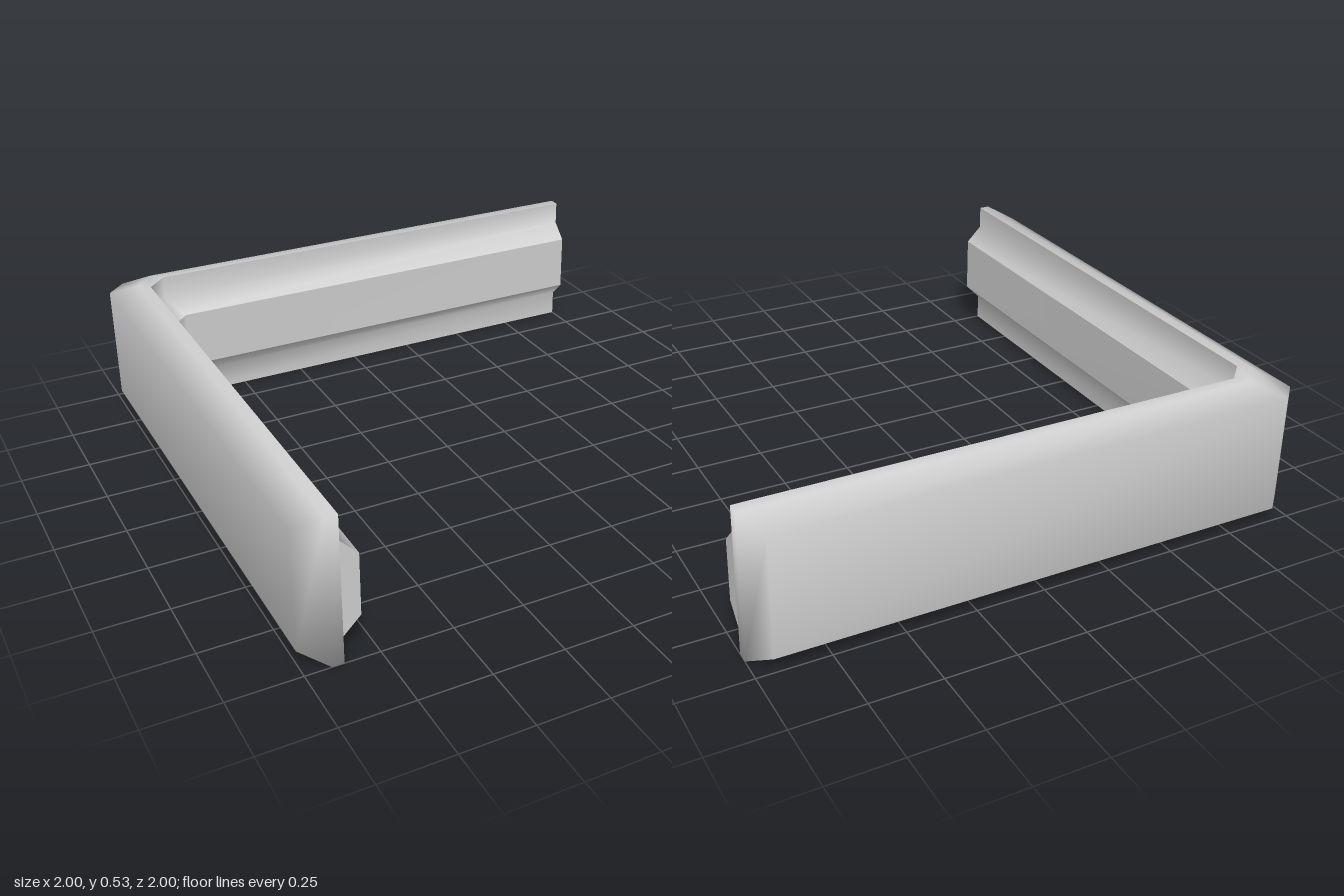
import * as THREE from 'three';

const CUT = 0.07; // chamfer of the corner, seen from above

// Path of one profile point (depth d from the outer face, height y) round the L
function pathOf([d, y]) {
  const p = -1 + d;
  const end = d === 0 ? 0.94 : 1; // outer edge is bevelled at both ends
  return [[p, y, end], [p, y, p + CUT], [p + CUT, y, p], [end, y, p]];
}

// Sweep an open profile round the corner; caps are quads of profile indices
function sweep(profile, caps = [], sides = true) {
  const pos = profile.flatMap(pathOf).flat();
  const at = (j, i) => j * 4 + i;
  const index = [];
  const quad = (a, b, c, d) => index.push(a, b, c, a, c, d);
  if (sides) {
    for (let j = 0; j < profile.length - 1; j++) {
      for (let i = 0; i < 3; i++) quad(at(j, i), at(j, i + 1), at(j + 1, i + 1), at(j + 1, i));
    }
  }
  for (const [a, b, c, d] of caps) {
    quad(at(a, 0), at(b, 0), at(c, 0), at(d, 0));
    quad(at(d, 3), at(c, 3), at(b, 3), at(a, 3));
  }
  const geo = new THREE.BufferGeometry();
  geo.setAttribute('position', new THREE.Float32BufferAttribute(pos, 3));
  geo.setIndex(index);
  geo.computeVertexNormals();
  return geo;
}

export function createModel() {
  const group = new THREE.Group();
  group.name = 'cornerRail';
  const material = new THREE.MeshStandardMaterial({ color: 0xcccccc });
  const add = (name, geo) => {
    const mesh = new THREE.Mesh(geo, material);
    mesh.name = name;
    group.add(mesh);
  };

  // Bevelled back, top, bottom and ends, shaded smoothly together
  const shell = [[0.13, 0.53], [0.09, 0.53], [0, 0.48], [0, 0.05], [0.09, 0], [0.13, 0]];
  add('railShell', sweep(shell, [[1, 2, 3, 4], [0, 1, 4, 5]]));

  // Inner side, sloping out to the raised strip
  add('lowerInnerSide', sweep([[0.13, 0], [0.13, 0.1], [0.19, 0.16]]));
  add('upperInnerSide', sweep([[0.19, 0.38], [0.13, 0.44], [0.13, 0.53]]));

  // Raised strip and its end faces
  add('stripFace', sweep([[0.19, 0.16], [0.19, 0.38]]));
  const strip = [[0.13, 0.1], [0.19, 0.16], [0.19, 0.38], [0.13, 0.44]];
  add('stripEnds', sweep(strip, [[0, 1, 2, 3]], false));

  return group;
}
